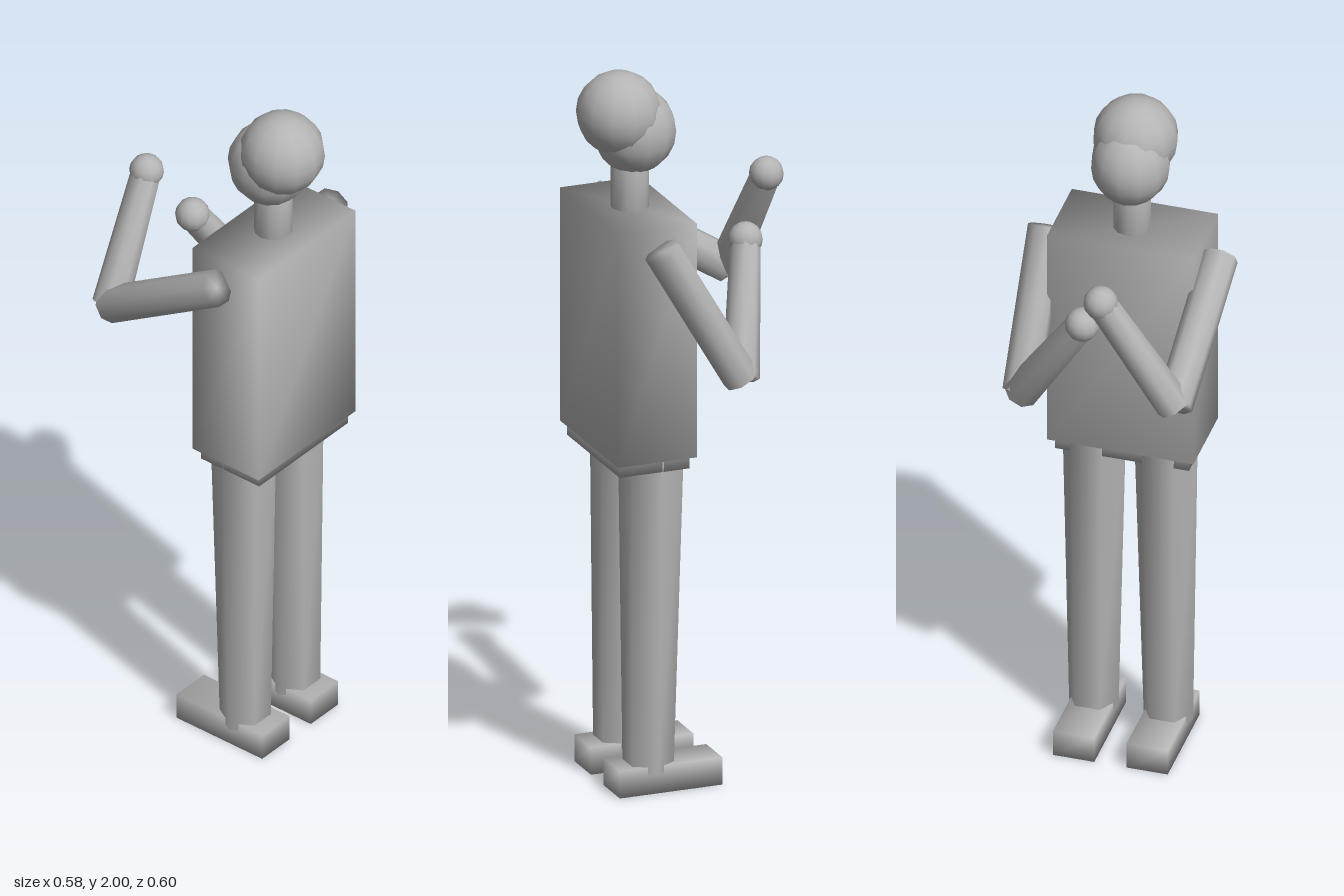
import * as THREE from 'three';
import { mergeVertices } from 'three/addons/utils/BufferGeometryUtils.js';

const grey = new THREE.MeshStandardMaterial({ color: 0xb4b4b4 });
grey.name = 'plain grey';

// Share corners so the shading runs smoothly round each form
function weld(geometry) {
  geometry.deleteAttribute('normal');
  geometry.deleteAttribute('uv');
  const welded = mergeVertices(geometry, 1e-4);
  welded.computeVertexNormals();
  return welded;
}

function part(name, geometry) {
  const mesh = new THREE.Mesh(weld(geometry), grey);
  mesh.name = name;
  return mesh;
}

// Box given by its lowest and highest corners
function block(name, min, max) {
  const size = max.map((v, i) => v - min[i]);
  const mesh = part(name, new THREE.BoxGeometry(...size));
  mesh.position.set(...max.map((v, i) => (v + min[i]) / 2));
  return mesh;
}

// Tapered limb between two points
function limb(name, from, to, rFrom, rTo, sides, spin = 0) {
  const a = new THREE.Vector3(...from);
  const b = new THREE.Vector3(...to);
  const axis = b.clone().sub(a);
  const geometry = new THREE.CylinderGeometry(rTo, rFrom, axis.length(), sides);
  geometry.rotateY(spin);
  const mesh = part(name, geometry);
  mesh.quaternion.setFromUnitVectors(new THREE.Vector3(0, 1, 0), axis.normalize());
  mesh.position.copy(a).add(b).multiplyScalar(0.5);
  return mesh;
}

function ball(name, center, radii, segments, rings) {
  const geometry = new THREE.SphereGeometry(1, segments, rings);
  geometry.scale(...radii);
  const mesh = part(name, geometry);
  mesh.position.set(...center);
  return mesh;
}

function arm(side, shoulder, elbow, hand) {
  const group = new THREE.Group();
  group.name = side + 'Arm';
  group.add(
    limb('upperArm', shoulder, elbow, 0.051, 0.051, 8, Math.PI / 8),
    limb('forearm', elbow, hand, 0.05, 0.041, 8, Math.PI / 8),
    ball('hand', hand, [0.047, 0.047, 0.047], 12, 8),
  );
  return group;
}

export function createModel() {
  const model = new THREE.Group();
  model.name = 'figure';

  // Trunk
  model.add(
    block('torso', [-0.204, 0.955, 0.041], [0.204, 1.617, 0.27]),
    block('pelvis', [-0.187, 0.92, 0.057], [0.187, 1.0, 0.258]),
    limb('neck', [0, 1.6, 0.153], [0, 1.76, 0.153], 0.052, 0.052, 12),
  );

  // Head, with the hair as a second ball set up and back
  model.add(
    ball('head', [0, 1.83, 0.139], [0.108, 0.118, 0.114], 12, 10),
    ball('hair', [0, 1.885, 0.184], [0.116, 0.115, 0.116], 12, 10),
  );

  // Legs and feet
  for (const [side, s] of [['left', 1], ['right', -1]]) {
    const leg = new THREE.Group();
    leg.name = side + 'Leg';
    leg.add(
      limb('leg', [s * 0.104, 0.055, 0.142], [s * 0.1, 0.98, 0.132], 0.069, 0.089, 6, Math.PI / 6),
      block('foot', [s * 0.1025 - 0.0575, 0, -0.05], [s * 0.1025 + 0.0575, 0.077, 0.246]),
    );
    model.add(leg);
  }

  // Arms raised in a guard
  model.add(
    arm('left', [0.24, 1.565, 0.157], [0.243, 1.178, -0.07], [0.045, 1.495, -0.163]),
    arm('right', [-0.242, 1.56, 0.158], [-0.23, 1.325, -0.222], [-0.035, 1.642, -0.256]),
  );

  return model;
}
